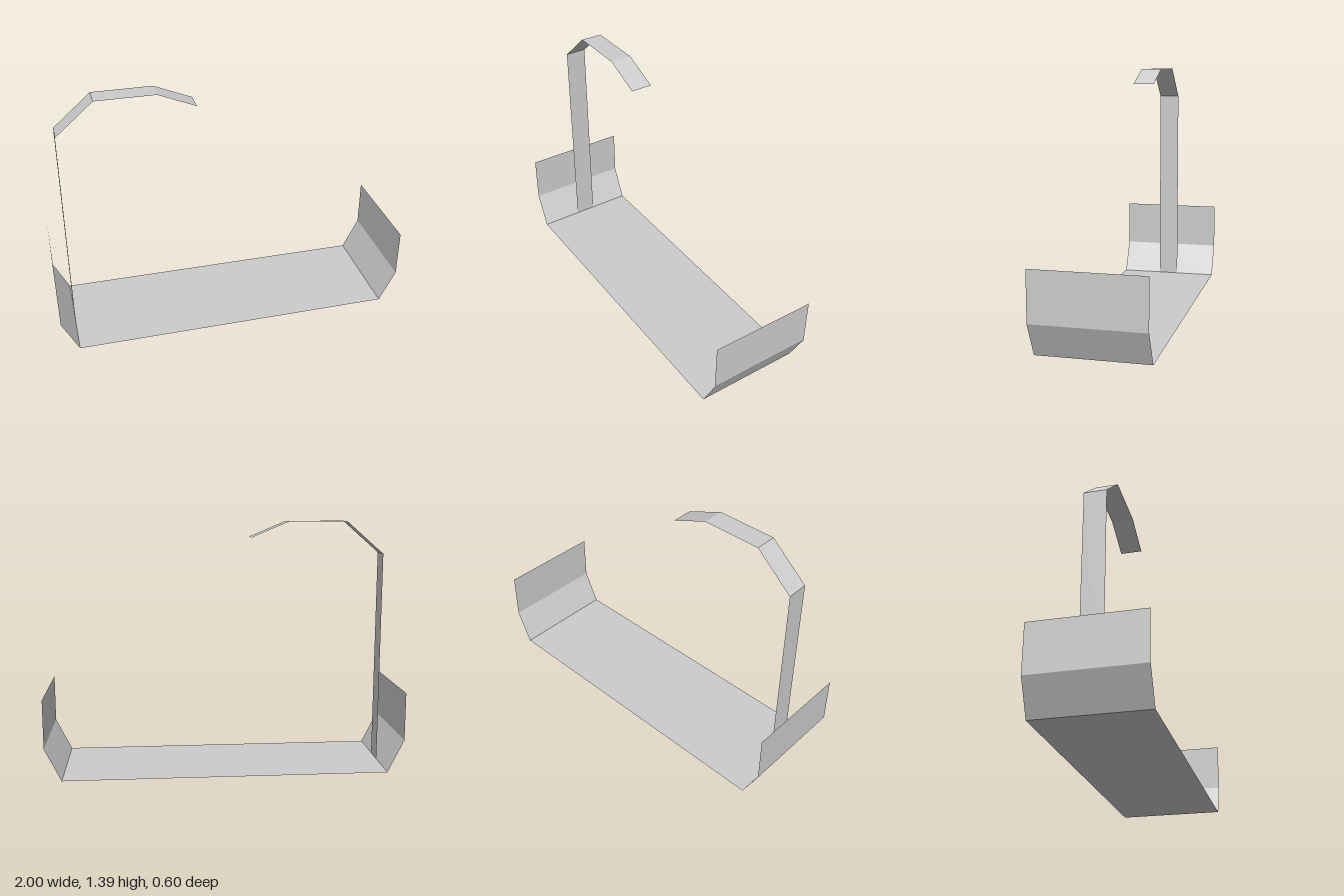
import * as THREE from 'three';

const material = new THREE.MeshStandardMaterial({
  color: 0xcccccc, flatShading: true, side: THREE.DoubleSide,
});

// Thin sheet: an x-y profile swept straight along z, centred on z = 0
function foldedSheet(name, profile, width) {
  const geometry = new THREE.PlaneGeometry(1, 1, profile.length - 1, 1);
  const position = geometry.attributes.position;
  for (let i = 0; i < position.count; i++) {
    const [x, y] = profile[i % profile.length];
    const z = i < profile.length ? -width / 2 : width / 2;
    position.setXYZ(i, x, y, z);
  }
  const flat = geometry.toNonIndexed();
  flat.computeVertexNormals();
  const mesh = new THREE.Mesh(flat, material);
  mesh.name = name;
  return mesh;
}

export function createModel() {
  const model = new THREE.Group();
  model.name = 'trayWithHook';

  // Tray: flat floor with mirrored, bent-up ends
  const end = [[0.909, 0], [1, 0.185], [1, 0.457]];
  const mirroredEnd = end.map(([x, y]) => [-x, y]).reverse();
  model.add(foldedSheet('tray', [...mirroredEnd, ...end], 0.604));

  // Upright post at the fold, curling over into a hook
  const hook = [[-0.909, 0], [-0.909, 1.213], [-0.7, 1.395], [-0.366, 1.395], [-0.155, 1.307]];
  model.add(foldedSheet('hook', hook, 0.122));

  return model;
}
